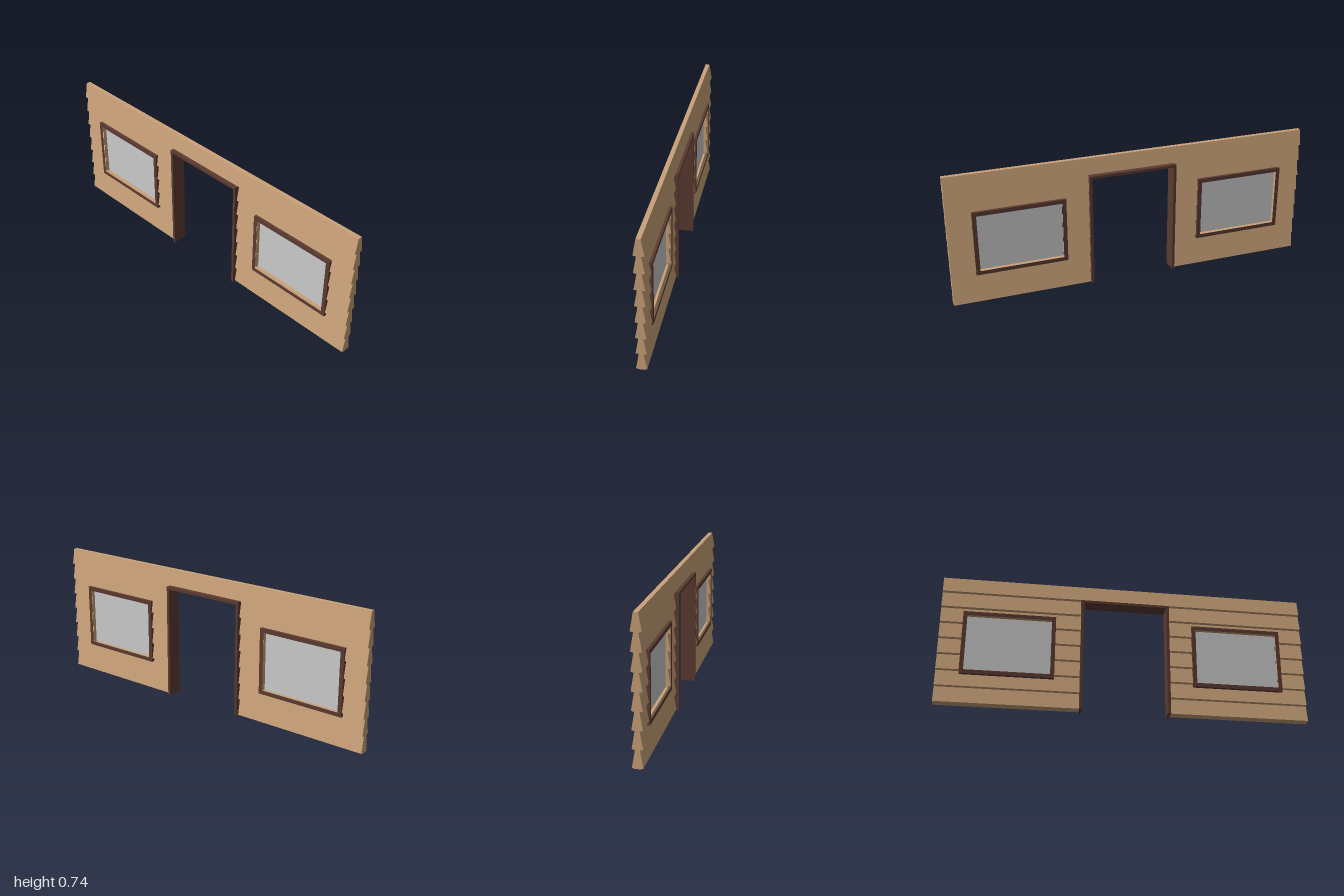
import * as THREE from 'three';

const WOOD = new THREE.MeshStandardMaterial({ color: 0xc9a178, flatShading: true });
const TRIM = new THREE.MeshStandardMaterial({ color: 0x5b3a31, flatShading: true });
const GLASS = new THREE.MeshStandardMaterial({ color: 0xcccccc });

const HEIGHT = 0.735, ROWS = 8, ROW = HEIGHT / ROWS;
const THIN = 0.0117, THICK = 0.027, LIP = 0.004;

// One side of the lapped siding outline, listed from bottom to top
const outline = [];
for (let i = 0; i < ROWS; i++) {
  outline.push([THIN, i * ROW], [THICK, i * ROW + LIP]);
}
outline.push([THIN, HEIGHT]);

// Half thickness of the siding at a given height
function halfWidth(y) {
  for (let i = 1; i < outline.length; i++) {
    const [xa, ya] = outline[i - 1], [xb, yb] = outline[i];
    if (y <= yb) return xa + (xb - xa) * (y - ya) / (yb - ya);
  }
  return THIN;
}

// Two-sided siding cut to a height range and run along z
function siding(name, z0, z1, y0 = 0, y1 = HEIGHT) {
  const inside = outline.filter(([, y]) => y > y0 + 1e-5 && y < y1 - 1e-5);
  const side = [[halfWidth(y0), y0], ...inside, [halfWidth(y1), y1]];
  const all = [...side, ...side.slice().reverse().map(([x, y]) => [-x, y])];
  const shape = new THREE.Shape(all.map(([x, y]) => new THREE.Vector2(x, y)));
  const geo = new THREE.ExtrudeGeometry(shape, { depth: z1 - z0, bevelEnabled: false });
  const mesh = new THREE.Mesh(geo, WOOD);
  mesh.position.z = z0;
  mesh.name = name;
  return mesh;
}

// Flat frame drawn in the z-y plane, with thickness along x
function frame(name, points, hole, depth) {
  const toVec = ([z, y]) => new THREE.Vector2(-z, y);
  const shape = new THREE.Shape(points.map(toVec));
  if (hole) shape.holes.push(new THREE.Path(hole.map(toVec)));
  const geo = new THREE.ExtrudeGeometry(shape, { depth, bevelEnabled: false });
  geo.translate(0, 0, -depth / 2);
  geo.rotateY(Math.PI / 2);
  const mesh = new THREE.Mesh(geo, TRIM);
  mesh.name = name;
  return mesh;
}

const rect = (z0, z1, y0, y1) => [[z0, y0], [z1, y0], [z1, y1], [z0, y1]];

export function createModel() {
  const model = new THREE.Group();
  model.name = 'sidedWall';

  // Window and doorway extents
  const winHalf = 0.249, winLow = 0.166, winHigh = 0.528, bar = 0.022;
  const doorHalf = 0.244, doorTop = 0.64, jamb = 0.015, doorZ = -0.001;

  // Siding above the doorway
  model.add(siding('sidingOverDoor', doorZ - doorHalf + 0.005, doorZ + doorHalf - 0.005, doorTop - 0.005));

  for (const [label, sign, centre] of [['front', 1, 0.62], ['back', -1, -0.63]]) {
    const half = new THREE.Group();
    half.name = label + 'WallHalf';

    // Siding around the window opening
    const a = centre - winHalf + 0.01, b = centre + winHalf - 0.01;
    const door = doorZ + sign * (doorHalf - 0.005);
    const start = sign > 0 ? door : -1, end = sign > 0 ? 1 : door;
    half.add(
      siding('sidingBesideWindow', start, a),
      siding('sidingBesideWindow', b, end),
      siding('sidingBelowWindow', a, b, 0, winLow + 0.01),
      siding('sidingAboveWindow', a, b, winHigh - 0.01, HEIGHT)
    );

    // Window frame and pane
    half.add(frame('windowFrame',
      rect(centre - winHalf, centre + winHalf, winLow, winHigh),
      rect(centre - winHalf + bar, centre + winHalf - bar, winLow + bar, winHigh - bar),
      0.064));
    const pane = new THREE.Mesh(
      new THREE.BoxGeometry(0.004, winHigh - winLow - 2 * bar + 0.01, 2 * (winHalf - bar) + 0.01), GLASS);
    pane.position.set(0, (winLow + winHigh) / 2, centre);
    pane.name = 'windowPane';
    half.add(pane);
    model.add(half);
  }

  // Door frame: two jambs and a head, open at the floor
  const l = doorZ - doorHalf, r = doorZ + doorHalf;
  model.add(frame('doorFrame', [
    [l, 0], [l + jamb, 0], [l + jamb, doorTop - jamb], [r - jamb, doorTop - jamb],
    [r - jamb, 0], [r, 0], [r, doorTop], [l, doorTop]
  ], null, 0.082));

  return model;
}
